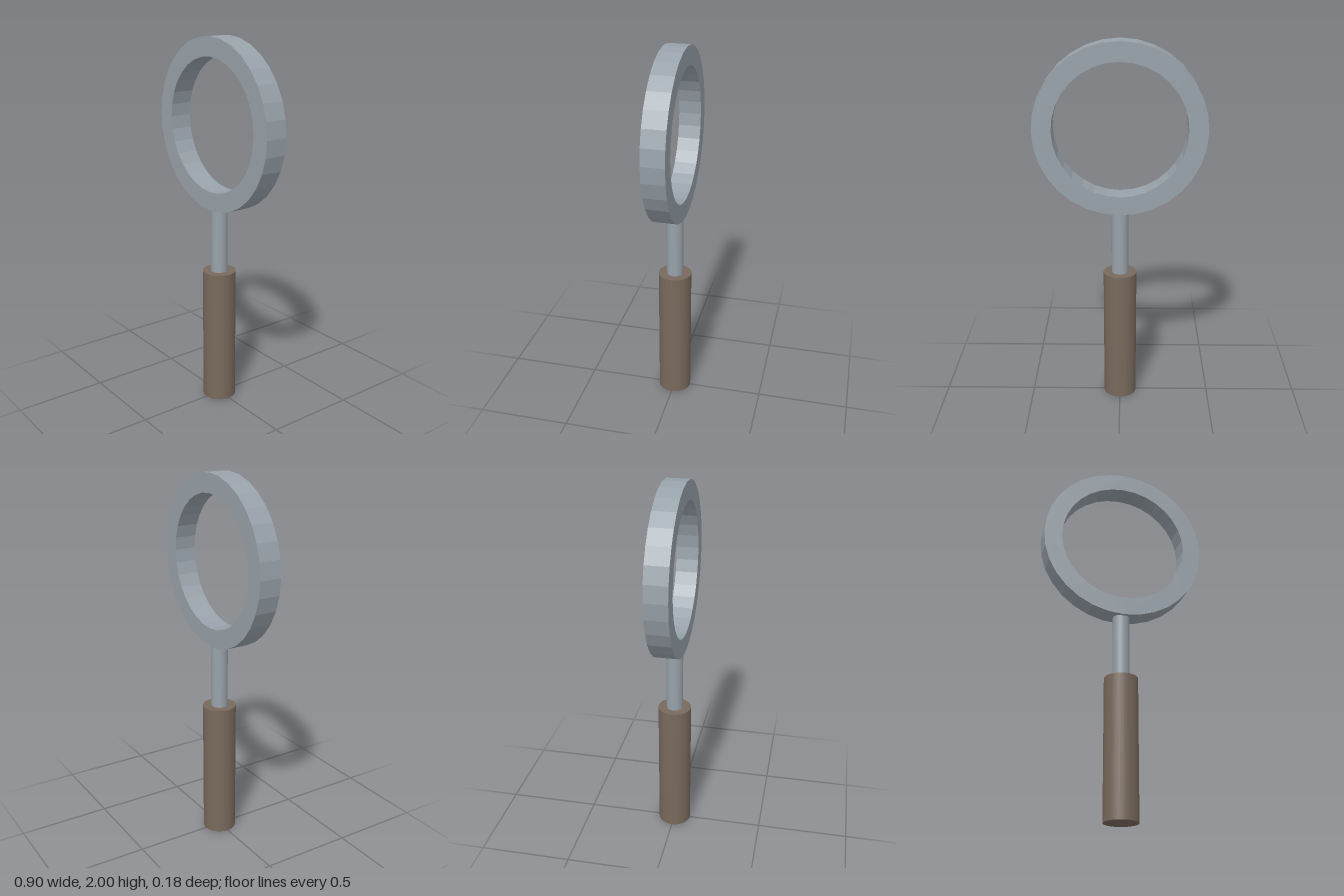
import * as THREE from 'three';

const steel = new THREE.MeshStandardMaterial({ color: 0x98a2aa });
const wood = new THREE.MeshStandardMaterial({ color: 0x78695c });

// Upright round bar between two heights
function bar(name, radius, y0, y1, material) {
  const mesh = new THREE.Mesh(new THREE.CylinderGeometry(radius, radius, y1 - y0, 32), material);
  mesh.position.y = (y0 + y1) / 2;
  mesh.name = name;
  return mesh;
}

export function createModel() {
  const group = new THREE.Group();
  group.name = 'magnifyingGlass';

  // Open lens frame: flat-faced ring with 32 facets
  const outer = 0.45, inner = 0.35, depth = 0.12;
  const shape = new THREE.Shape().absarc(0, 0, outer, 0, Math.PI * 2, false);
  shape.holes.push(new THREE.Path().absarc(0, 0, inner, 0, Math.PI * 2, true));
  const ringGeometry = new THREE.ExtrudeGeometry(shape, { depth, bevelEnabled: false, curveSegments: 16 });
  ringGeometry.translate(0, 0, -depth / 2);
  const ring = new THREE.Mesh(ringGeometry, steel);
  ring.position.y = 1.55;
  ring.name = 'lensFrame';

  // Stem runs a little way into the frame
  const stem = bar('stem', 0.045, 0.75, 1.12, steel);
  const handle = bar('handle', 0.09, 0, 0.75, wood);

  group.add(ring, stem, handle);
  return group;
}
